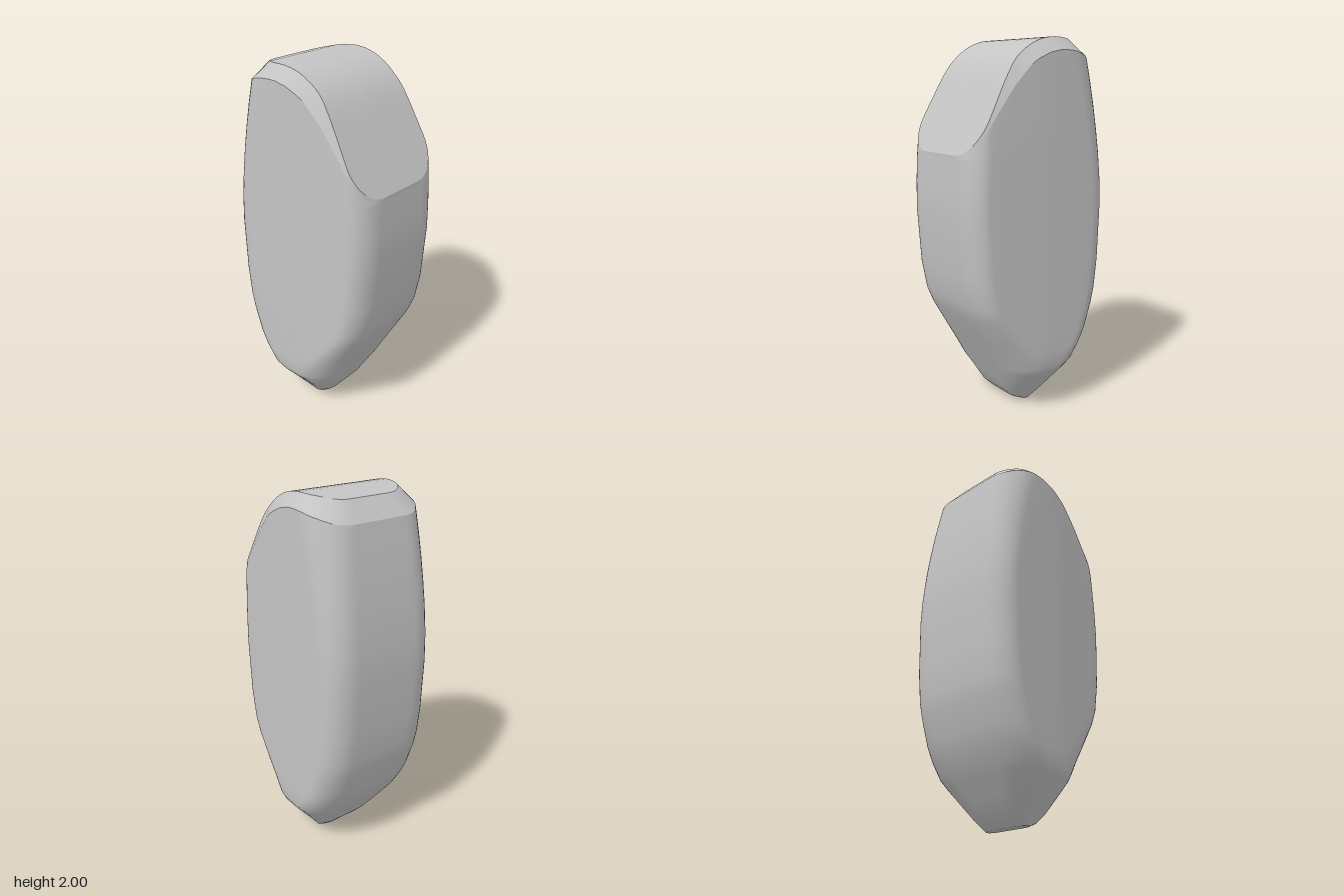
import * as THREE from 'three';

// Piecewise-linear lookup in a list of [x, y] points
function lookup(points, x) {
  if (x <= points[0][0]) return points[0][1];
  for (let i = 1; i < points.length; i++) {
    const [x0, y0] = points[i - 1], [x1, y1] = points[i];
    if (x <= x1) return y0 + ((y1 - y0) * (x - x0)) / (x1 - x0);
  }
  return points[points.length - 1][1];
}

// Rounded rectangle in the xz plane, with different corner radii left and right
function outline(xl, xr, d, rl, rr, rz, corner = 10, side = 14) {
  const pts = [];
  const corners = [[xr - rr, d - rz, rr, 0], [xl + rl, d - rz, rl, 1], [xl + rl, rz - d, rl, 2], [xr - rr, rz - d, rr, 3]];
  corners.forEach(([cx, cz, rx, q], k) => {
    for (let i = 0; i <= corner; i++) {
      const a = (q + i / corner) * Math.PI / 2;
      pts.push([cx + rx * Math.cos(a), cz + rz * Math.sin(a)]);
    }
    const [nx, nz, nrx, nq] = corners[(k + 1) % 4];
    const a = nq * Math.PI / 2;
    const [sx, sz] = pts[pts.length - 1];
    const ex = nx + nrx * Math.cos(a), ez = nz + rz * Math.sin(a);
    for (let i = 1; i < side; i++) pts.push([sx + (ex - sx) * i / side, sz + (ez - sz) * i / side]);
  });
  // the body narrows a little towards +x
  return pts.map(([x, z]) => [x, z * (1 - 0.18 * Math.max(0, x))]);
}

// Skin over closed rings, listed from bottom to top
function loft(rings) {
  const n = rings[0].length, index = [];
  for (let i = 0; i < rings.length - 1; i++) {
    for (let j = 0; j < n; j++) {
      const a = i * n + j, b = i * n + (j + 1) % n;
      index.push(a, a + n, b, b, a + n, b + n);
    }
  }
  const g = new THREE.BufferGeometry();
  g.setAttribute('position', new THREE.Float32BufferAttribute(rings.flat(2), 3));
  g.setIndex(index);
  g.computeVertexNormals();
  return g;
}

// Height of the curved top, and of the lower edge of its bevel, along x
const topCurve = [[-0.28, 1.975], [-0.2, 1.992], [-0.1, 2], [-0.04, 1.995], [0.02, 1.98], [0.08, 1.952],
  [0.14, 1.91], [0.19, 1.855], [0.23, 1.795], [0.437, 1.42]];
const rimCurve = [[-0.36, 1.875], [-0.28, 1.905], [-0.18, 1.93], [-0.1, 1.935], [-0.02, 1.92], [0.05, 1.89],
  [0.1, 1.86], [0.2, 1.755], [0.3, 1.62], [0.437, 1.415]];

// Horizontal sections: y, left x, right x, half depth, left radius, right radius, z radius
const sections = [
  [0, -0.055, 0, 0.14, 0.02, 0.02, 0.06],
  [0.02, -0.09, 0.05, 0.155, 0.05, 0.05, 0.08],
  [0.06, -0.13, 0.09, 0.185, 0.07, 0.07, 0.09],
  [0.14, -0.19, 0.133, 0.25, 0.11, 0.1, 0.13],
  [0.22, -0.245, 0.177, 0.318, 0.16, 0.16, 0.16],
  [0.26, -0.275, 0.198, 0.34, 0.16, 0.19, 0.18],
  [0.34, -0.322, 0.242, 0.343, 0.14, 0.18, 0.18],
  [0.42, -0.358, 0.286, 0.343, 0.13, 0.15, 0.17],
  [0.56, -0.403, 0.362, 0.343, 0.13, 0.11, 0.16],
  [0.64, -0.42, 0.393, 0.343, 0.13, 0.1, 0.15],
  [0.8, -0.438, 0.425, 0.343, 0.13, 0.1, 0.15],
  [1.1, -0.45, 0.447, 0.342, 0.13, 0.1, 0.15],
  [1.25, -0.445, 0.445, 0.341, 0.13, 0.1, 0.15],
  [1.4, -0.432, 0.437, 0.34, 0.14, 0.1, 0.15],
];

export function createModel() {
  const model = new THREE.Group();
  const grey = new THREE.MeshStandardMaterial({ color: 0xc4c4c4 });
  grey.name = 'plain grey';
  const add = (name, rings) => {
    const mesh = new THREE.Mesh(loft(rings), grey);
    mesh.name = name;
    model.add(mesh);
  };

  // Body: level sections, then rings that rise to the sloping rim
  const rings = sections.map(([y, ...s]) => outline(...s).map(([x, z]) => [x, y, z]));
  const shoulder = rings[rings.length - 1];
  const rim = outline(-0.36, 0.437, 0.334, 0.2, 0.1, 0.17).map(([x, z]) => [x, lookup(rimCurve, x), z]);
  for (const s of [0.25, 0.5, 0.75, 1]) {
    const t = s * (0.7 + 0.3 * s);
    rings.push(rim.map(([x, y, z], j) => {
      const [x0, y0, z0] = shoulder[j];
      return [x0 + (x - x0) * t, y0 + (y - y0) * s, z0 + (z - z0) * t];
    }));
  }
  add('body', rings);

  // Bottom tip: closes the lowest section
  add('bottomTip', [rings[0].map(([x, y]) => [x, y, 0]), rings[0]]);

  // Top cap edge: inset from the rim, the inset fading out down the slope
  const edge = outline(-0.28, 0.437, 0.278, 0.19, 0.1, 0.16).map(([x, z]) => {
    const fade = THREE.MathUtils.clamp((x - 0.15) / 0.28, 0, 1);
    const widen = 1 + 0.18 * Math.max(0, Math.min(x, 0.2)) + 0.2 * fade;
    return [x, lookup(topCurve, x), z * widen];
  });
  add('topBevel', [rim, edge]);

  // Curved top and long slope, swept across z
  add('topCap', [1, 0.5, 0].map((s) => edge.map(([x, y, z]) => [x, y, z * s])));

  return model;
}
